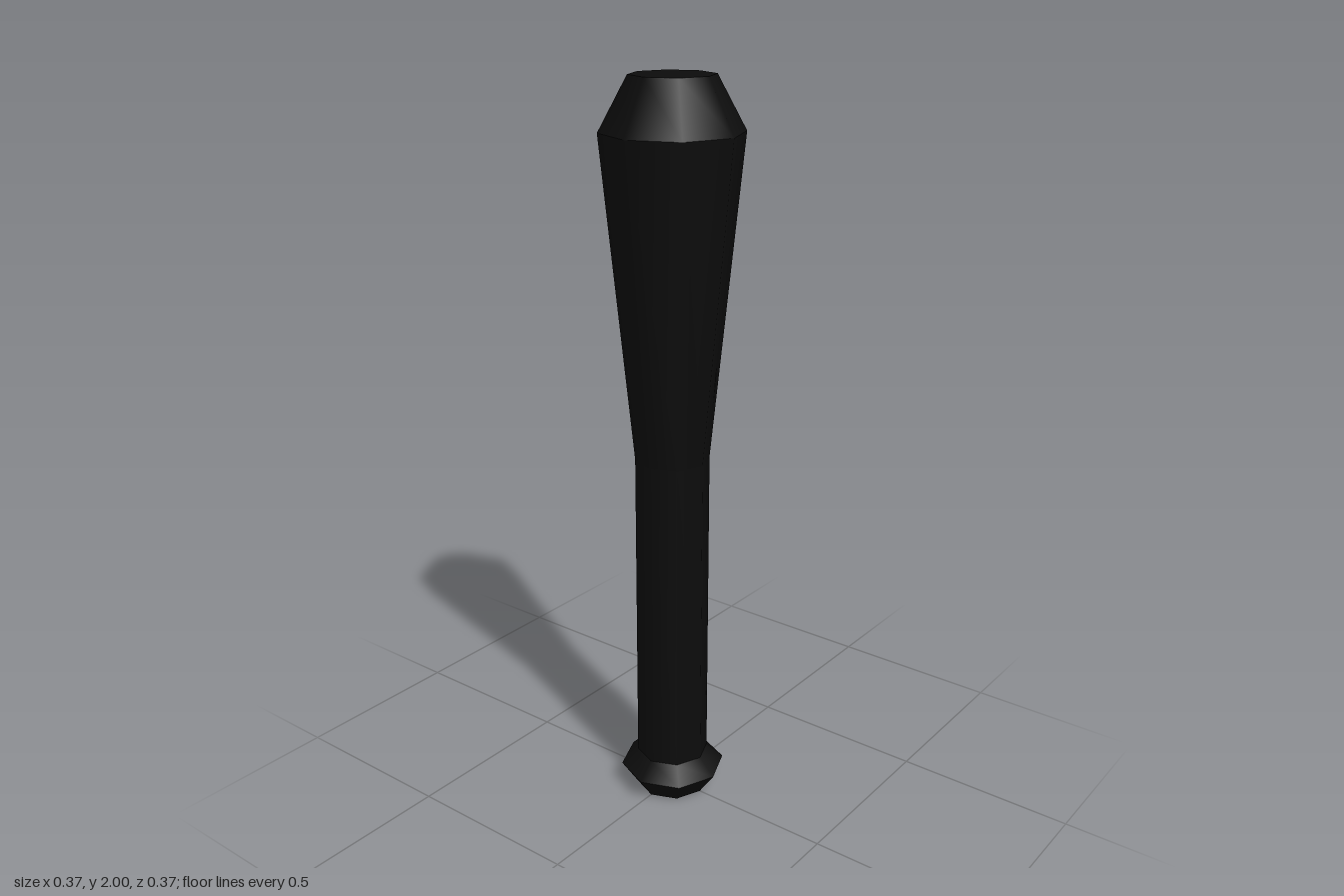
import * as THREE from 'three';

export function createModel() {
  const bat = new THREE.Group();
  bat.name = 'bat';
  const black = new THREE.MeshStandardMaterial({ color: 0x0c0c0c });
  black.name = 'black';

  // Eight-sided turned section, profile listed from bottom to top as [radius, height]
  function turned(name, profile) {
    const points = profile.map(([r, y]) => new THREE.Vector2(r, y));
    const mesh = new THREE.Mesh(new THREE.LatheGeometry(points, 8), black);
    mesh.name = name;
    bat.add(mesh);
  }

  // Knob at the foot of the handle
  turned('knobBase', [[0, 0], [0.1, 0]]);
  turned('knobLower', [[0.1, 0], [0.147, 0.067]]);
  turned('knobUpper', [[0.147, 0.067], [0.1, 0.113]]);

  // Straight handle and flaring barrel
  turned('handle', [[0.1, 0.113], [0.1, 1.01]]);
  turned('barrel', [[0.1, 1.01], [0.185, 1.863]]);

  // Bevelled tip
  turned('tipBevel', [[0.185, 1.863], [0.11, 2]]);
  turned('tipCap', [[0.11, 2], [0, 2]]);

  return bat;
}
